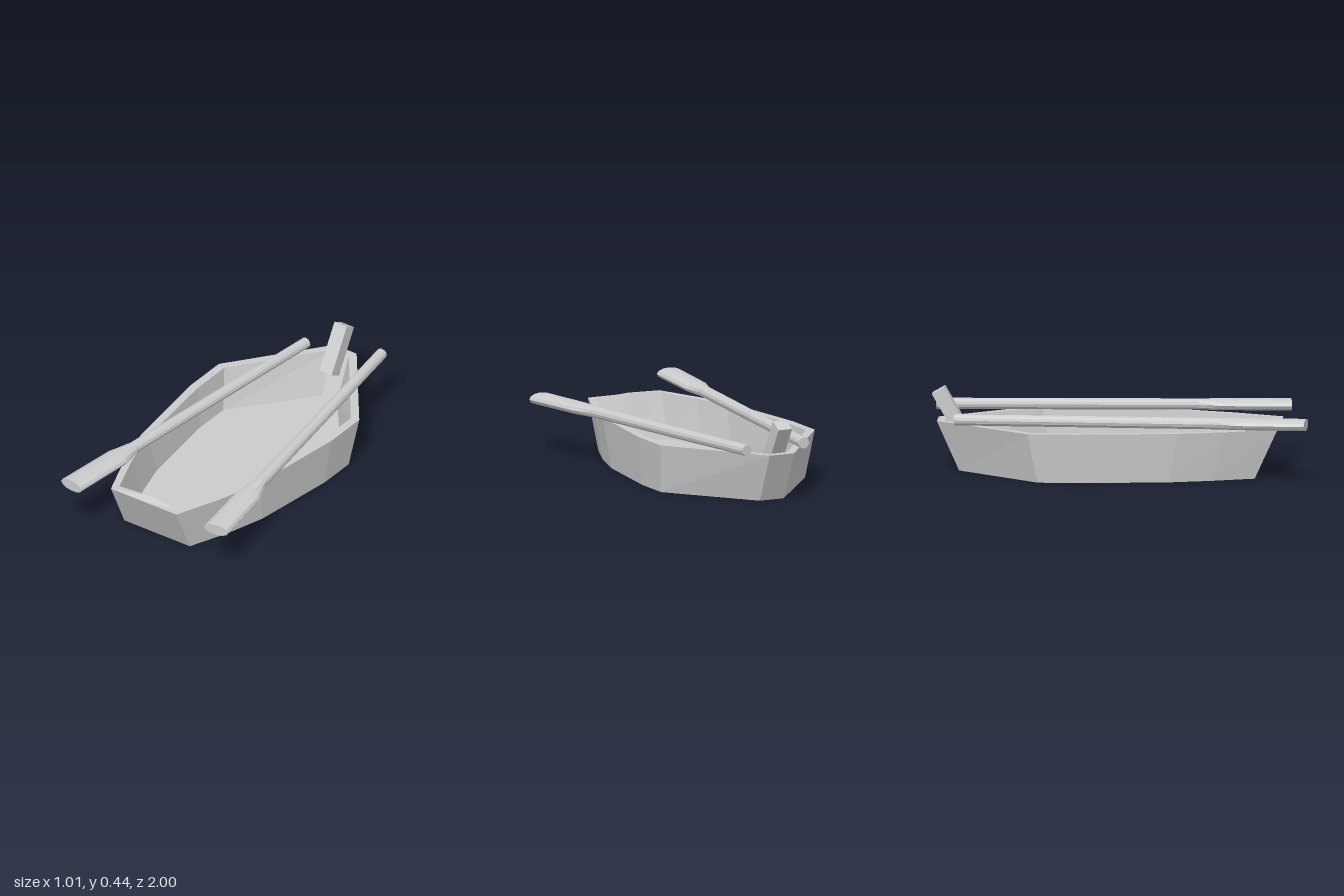
import * as THREE from 'three';

const material = new THREE.MeshStandardMaterial({ color: 0xcccccc, flatShading: true });

// Skins a list of equal-sized rings and caps both ends.
function loft(rings, name) {
  const pos = [];
  const tri = (...pts) => pts.forEach((p) => pos.push(p.x, p.y, p.z));
  const n = rings[0].length;
  for (let i = 0; i < rings.length - 1; i++) {
    for (let j = 0; j < n; j++) {
      const k = (j + 1) % n;
      const a = rings[i][j], b = rings[i][k], c = rings[i + 1][k], d = rings[i + 1][j];
      tri(a, b, c);
      tri(a, c, d);
    }
  }
  const cap = (ring, flip) => {
    const mid = new THREE.Vector3();
    ring.forEach((p) => mid.addScaledVector(p, 1 / n));
    for (let j = 0; j < n; j++) {
      const p = ring[j], q = ring[(j + 1) % n];
      if (flip) tri(mid, q, p);
      else tri(mid, p, q);
    }
  };
  cap(rings[0], true);
  cap(rings[rings.length - 1], false);
  const geometry = new THREE.BufferGeometry();
  geometry.setAttribute('position', new THREE.Float32BufferAttribute(pos, 3));
  geometry.computeVertexNormals();
  const mesh = new THREE.Mesh(geometry, material);
  mesh.name = name;
  return mesh;
}

// Mirrors half an outline (transom to bow, as [x, z]) into a closed ring.
function hullRing(half, y, midY = y) {
  const side = half.map(([x, z]) => new THREE.Vector3(x, y, z));
  const other = half.map(([x, z]) => new THREE.Vector3(-x, y, z)).reverse();
  return [new THREE.Vector3(0, midY, half[0][1]), ...side, ...other];
}

// Oar running from handle end to blade end.
function makeOar(name, handle, blade) {
  const from = new THREE.Vector3(...handle);
  const to = new THREE.Vector3(...blade);
  const length = from.distanceTo(to);
  // fraction along the oar, half width, half height
  const sections = [
    [0, 0.03, 0.03],
    [0.735, 0.034, 0.03],
    [0.805, 0.068, 0.031],
    [1, 0.071, 0.031],
  ];
  const sides = 12;
  const rings = sections.map(([t, w, h]) =>
    Array.from({ length: sides }, (_, i) => {
      const a = (i / sides) * Math.PI * 2;
      return new THREE.Vector3(Math.cos(a) * w, Math.sin(a) * h, t * length);
    }));
  const oar = loft(rings, name);
  oar.position.copy(from);
  oar.lookAt(to);
  return oar;
}

export function createModel() {
  const model = new THREE.Group();
  model.name = 'rowingBoat';

  // Hull: up the outside, across the rim, down the inside to the floor
  const hull = loft([
    hullRing([[0.212, 0.71], [0.3, 0.49], [0.365, 0.27], [0.425, -0.2], [0.425, -0.415], [0.07, -0.855]], 0),
    hullRing([[0.212, 0.83], [0.318, 0.56], [0.387, 0.32], [0.455, -0.22], [0.455, -0.468], [0.072, -0.972]], 0.262),
    hullRing([[0.19, 0.785], [0.283, 0.54], [0.347, 0.31], [0.41, -0.22], [0.41, -0.455], [0.052, -0.93]], 0.262, 0.277),
    hullRing([[0.19, 0.68], [0.268, 0.47], [0.328, 0.26], [0.385, -0.2], [0.385, -0.41], [0.05, -0.825]], 0.03),
  ], 'hull');
  hull.position.x = -0.053;
  model.add(hull);

  // Raked post at the bow
  const post = new THREE.Mesh(new THREE.BoxGeometry(0.08, 0.27, 0.075), material);
  post.name = 'bowPost';
  post.position.set(-0.058, 0.301, -0.9);
  post.rotation.x = -Math.PI / 6;
  model.add(post);

  // Oars resting on the rim
  model.add(makeOar('rightOar', [-0.235, 0.288, -0.87], [-0.405, 0.312, 0.99]));
  model.add(makeOar('leftOar', [0.165, 0.307, -0.995], [0.43, 0.281, 0.85]));

  return model;
}
